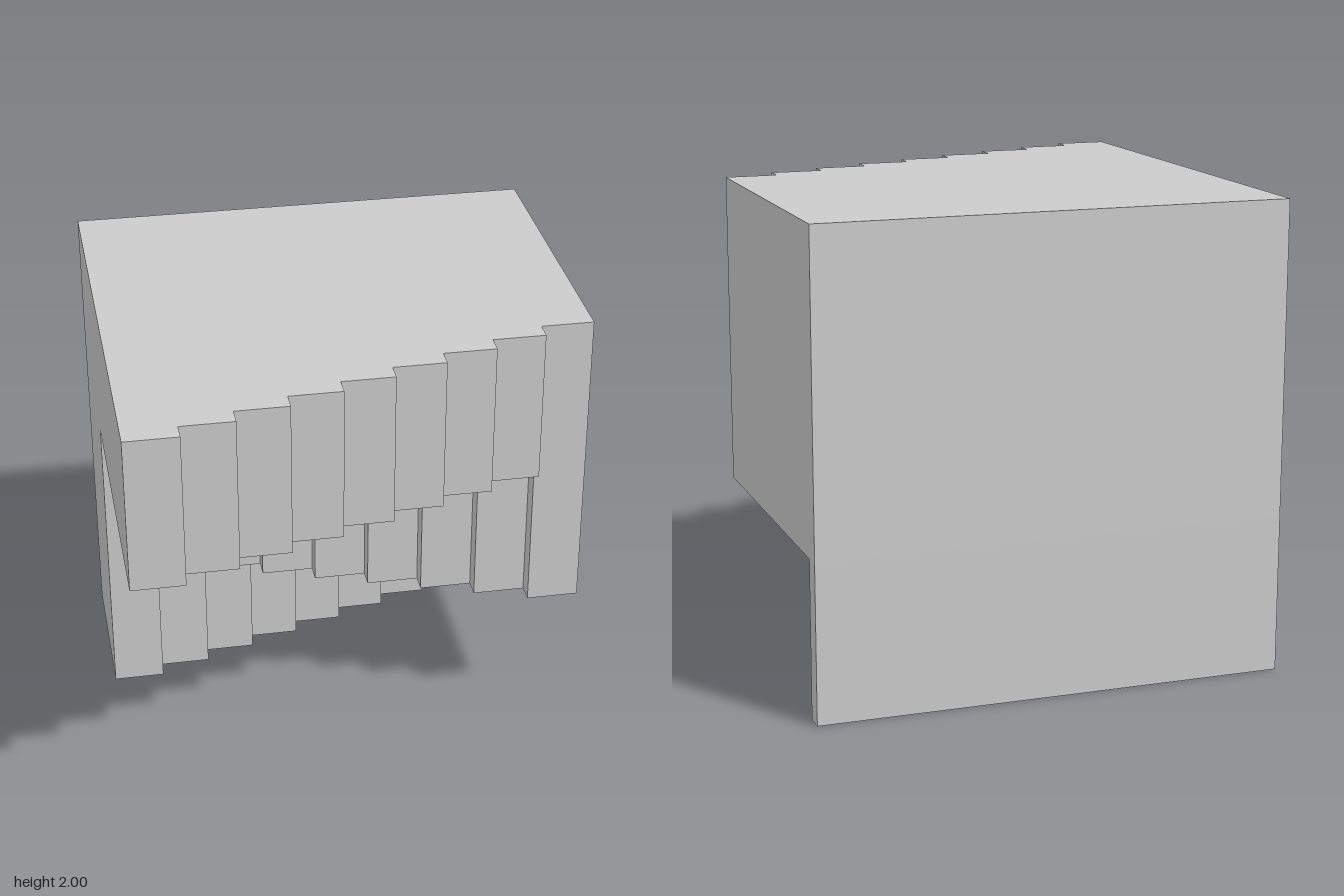
import * as THREE from 'three';

const COLUMNS = 9, STEP = 0.08, TIER_HEIGHT = 2 / 3, BACK = -1;

// One tier: flat back and sides, with a front edge stepping column by column.
function steppedTier(name, level, frontAtRight, step, material) {
  const plan = new THREE.Shape();
  plan.moveTo(-1, -BACK);
  for (let i = 0; i < COLUMNS; i++) {
    const z = frontAtRight + i * step;
    plan.lineTo(-1 + (2 * i) / COLUMNS, -z);
    plan.lineTo(-1 + (2 * (i + 1)) / COLUMNS, -z);
  }
  plan.lineTo(1, -BACK);
  plan.closePath();

  const geometry = new THREE.ExtrudeGeometry(plan, { depth: TIER_HEIGHT, bevelEnabled: false });
  geometry.rotateX(-Math.PI / 2); // plan lies on the ground, extruded upwards
  const tier = new THREE.Mesh(geometry, material);
  tier.name = name;
  tier.position.y = level * TIER_HEIGHT;
  return tier;
}

export function createModel() {
  const model = new THREE.Group();
  model.name = 'steppedBlock';
  const grey = new THREE.MeshStandardMaterial({ color: 0xcccccc, flatShading: true });

  // The steps zigzag: each tier starts where the one below it ends.
  model.add(
    steppedTier('bottomTier', 0, -0.28, -STEP, grey),
    steppedTier('middleTier', 1, -0.28, STEP, grey),
    steppedTier('topTier', 2, 1, -STEP, grey)
  );
  return model;
}
